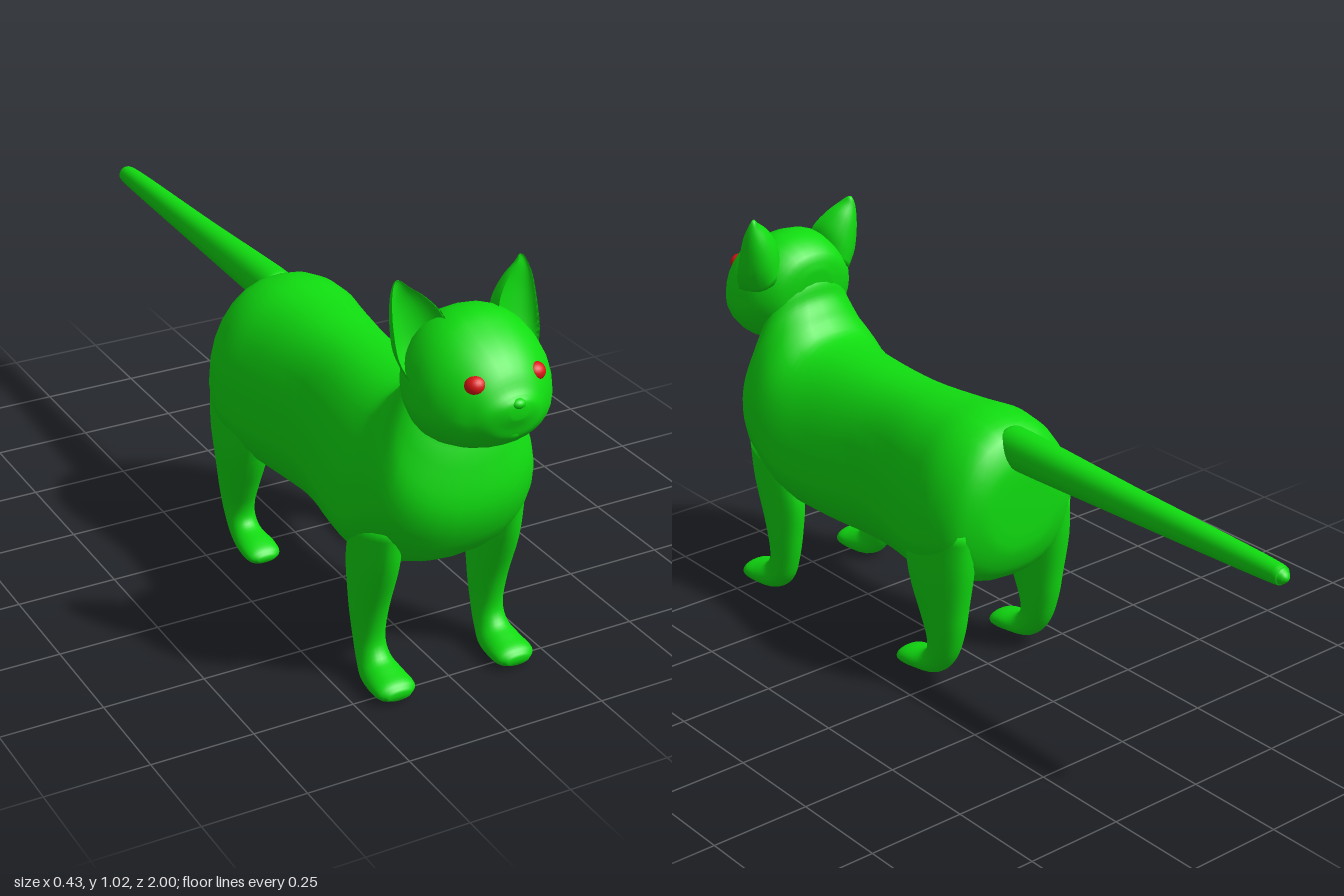
import * as THREE from 'three';

const green = new THREE.MeshStandardMaterial({ color: 0x10dd10 });
const red = new THREE.MeshStandardMaterial({ color: 0xdd1414 });
const V = (x, y, z) => new THREE.Vector3(x, y, z);

// Closed smooth skin over a list of rings (arrays of points), capped at both ends
function skin(rings) {
  const n = rings[0].length, pos = [], idx = [];
  for (const ring of rings) for (const p of ring) pos.push(p.x, p.y, p.z);
  for (let i = 0; i < rings.length - 1; i++) {
    for (let j = 0; j < n; j++) {
      const k = (j + 1) % n, a = i * n + j, b = i * n + k;
      idx.push(a, b, b + n, a, b + n, a + n);
    }
  }
  [rings[0], rings[rings.length - 1]].forEach((ring, end) => {
    const c = ring.reduce((s, p) => s.add(p), V(0, 0, 0)).divideScalar(n);
    const ci = pos.length / 3, o = end * (rings.length - 1) * n;
    pos.push(c.x, c.y, c.z);
    for (let j = 0; j < n; j++) {
      const a = o + j, b = o + (j + 1) % n;
      end ? idx.push(ci, a, b) : idx.push(ci, b, a);
    }
  });
  const g = new THREE.BufferGeometry();
  g.setAttribute('position', new THREE.Float32BufferAttribute(pos, 3));
  g.setIndex(idx);
  g.computeVertexNormals();
  return g;
}

// Loft of oval sections [az, ay, bz, by, halfWidth, widest]: each spans from
// a (top) to b (bottom); widest is where along a-b the oval is broadest
function loft(sections, cx = 0, steps = 4, sides = 28) {
  const spline = f => new THREE.CatmullRomCurve3(sections.map(f), false, 'catmullrom', 0.5);
  const A = spline(s => V(0, s[1], s[0]));
  const B = spline(s => V(0, s[3], s[2]));
  const W = spline(s => V(s[4], s[5] ?? 0.5, 0));
  const rings = [], count = (sections.length - 1) * steps;
  for (let i = 0; i <= count; i++) {
    const a = A.getPoint(i / count), b = B.getPoint(i / count), w = W.getPoint(i / count);
    const mid = a.clone().lerp(b, w.y), ring = [];
    for (let j = 0; j < sides; j++) {
      const t = j / sides * Math.PI * 2, c = Math.cos(t), s = Math.sin(t);
      const p = mid.clone().lerp(s > 0 ? a : b, Math.abs(s));
      p.x = cx + w.x * Math.sign(c) * Math.abs(c) ** 0.9;
      ring.push(p);
    }
    rings.push(ring);
  }
  return skin(rings);
}

// Cupped ear: rounded behind, hollow in front, tapering to a point
function ear(side) {
  const path = [ // centre x, y, z, half width, depth
    [0.108, 0.85, 0.815, 0.062, 0.1], [0.122, 0.9, 0.795, 0.068, 0.08],
    [0.139, 0.95, 0.775, 0.05, 0.055], [0.153, 0.988, 0.76, 0.027, 0.03],
    [0.156, 1.01, 0.748, 0.012, 0.012], [0.157, 1.017, 0.745, 0.002, 0.002],
  ];
  const C = new THREE.CatmullRomCurve3(path.map(p => V(p[0], p[1], p[2])));
  C.curveType = 'catmullrom';
  const S = new THREE.CatmullRomCurve3(path.map(p => V(p[3], p[4], 0)), false, 'catmullrom');
  const rings = [];
  for (let i = 0; i <= 20; i++) {
    const c = C.getPoint(i / 20), s = S.getPoint(i / 20), ring = [];
    for (let j = 0; j < 24; j++) {
      const t = j / 24 * Math.PI * 2, u = s.x * Math.cos(t), d = Math.sin(t);
      ring.push(V(side * (c.x + 0.78 * u), c.y - 0.62 * u, c.z + s.y * (d < 0 ? d : -0.55 * d)));
    }
    rings.push(ring);
  }
  return skin(side > 0 ? rings.reverse() : rings);
}

export function createModel() {
  const model = new THREE.Group();
  const add = (name, geometry, material = green) => {
    const m = new THREE.Mesh(geometry, material);
    m.name = name;
    model.add(m);
    return m;
  };
  const ball = (name, x, y, z, rx, ry, rz, material) => {
    const m = add(name, new THREE.SphereGeometry(1, 20, 14), material);
    m.position.set(x, y, z);
    m.scale.set(rx, ry, rz);
  };

  // Rump, trunk, chest and neck in one sweep
  add('body', loft([
    [-0.138, 0.56, -0.138, 0.42, 0.07],
    [-0.13, 0.62, -0.13, 0.36, 0.13],
    [-0.09, 0.68, -0.09, 0.29, 0.19, 0.6],
    [0, 0.703, 0, 0.26, 0.217, 0.65],
    [0.12, 0.695, 0.1, 0.24, 0.2, 0.65],
    [0.3, 0.685, 0.3, 0.235, 0.17, 0.6],
    [0.5, 0.688, 0.5, 0.24, 0.195, 0.65],
    [0.6, 0.7, 0.63, 0.26, 0.214, 0.65],
    [0.64, 0.73, 0.78, 0.34, 0.21, 0.6],
    [0.66, 0.76, 0.845, 0.46, 0.18, 0.6],
    [0.68, 0.79, 0.835, 0.58, 0.145],
    [0.69, 0.83, 0.815, 0.66, 0.12],
    [0.72, 0.87, 0.82, 0.72, 0.1],
  ]));

  // Head, narrowing to the muzzle
  add('head', loft([
    [0.687, 0.86, 0.7, 0.74, 0.05],
    [0.7, 0.905, 0.72, 0.7, 0.11],
    [0.75, 0.938, 0.76, 0.67, 0.15, 0.55],
    [0.81, 0.946, 0.82, 0.65, 0.164, 0.6],
    [0.87, 0.925, 0.88, 0.66, 0.155, 0.6],
    [0.92, 0.895, 0.93, 0.68, 0.125, 0.6],
    [0.955, 0.86, 0.955, 0.7, 0.095, 0.6],
    [0.975, 0.825, 0.975, 0.718, 0.07],
    [0.99, 0.812, 0.985, 0.745, 0.045],
    [0.995, 0.8, 0.995, 0.77, 0.02],
  ]));
  ball('nose', 0, 0.803, 0.985, 0.018, 0.012, 0.015);
  ball('chin', 0, 0.73, 0.955, 0.035, 0.024, 0.025);

  // Tail, from tip to root
  add('tail', loft([
    [-1, 0.637, -1, 0.627, 0.006],
    [-0.985, 0.65, -0.985, 0.615, 0.018],
    [-0.93, 0.66, -0.93, 0.608, 0.026],
    [-0.5, 0.672, -0.5, 0.594, 0.037],
    [-0.13, 0.686, -0.13, 0.584, 0.048],
    [-0.08, 0.68, -0.08, 0.59, 0.046],
  ]));

  // Paired parts; leg sections run down the leg and forward along the paw
  for (const [side, label] of [[1, 'left'], [-1, 'right']]) {
    add(label + 'FrontLeg', loft([
      [0.77, 0.43, 0.6, 0.4, 0.045],
      [0.755, 0.32, 0.575, 0.29, 0.045],
      [0.713, 0.2, 0.59, 0.18, 0.04],
      [0.697, 0.115, 0.61, 0.1, 0.035],
      [0.715, 0.075, 0.635, 0.045, 0.038],
      [0.75, 0.062, 0.68, 0.008, 0.048],
      [0.785, 0.052, 0.77, 0.003, 0.05],
      [0.802, 0.035, 0.798, 0.012, 0.028],
    ], side * 0.157));
    add(label + 'HindLeg', loft([
      [0.13, 0.44, -0.115, 0.45, 0.055],
      [0.1, 0.29, -0.11, 0.35, 0.058],
      [0.06, 0.19, -0.092, 0.24, 0.047],
      [0.038, 0.135, -0.078, 0.165, 0.04],
      [0.036, 0.1, -0.05, 0.09, 0.036],
      [0.055, 0.08, 0, 0.035, 0.038],
      [0.1, 0.07, 0.07, 0.022, 0.046],
      [0.128, 0.06, 0.122, 0.02, 0.042],
      [0.142, 0.045, 0.14, 0.03, 0.022],
    ], side * 0.152));
    add(label + 'Ear', ear(side));
    ball(label + 'Eye', side * 0.072, 0.838, 0.932, 0.026, 0.022, 0.024, red);
    ball(label + 'MuzzlePad', side * 0.032, 0.773, 0.958, 0.036, 0.027, 0.03);
  }
  return model;
}
